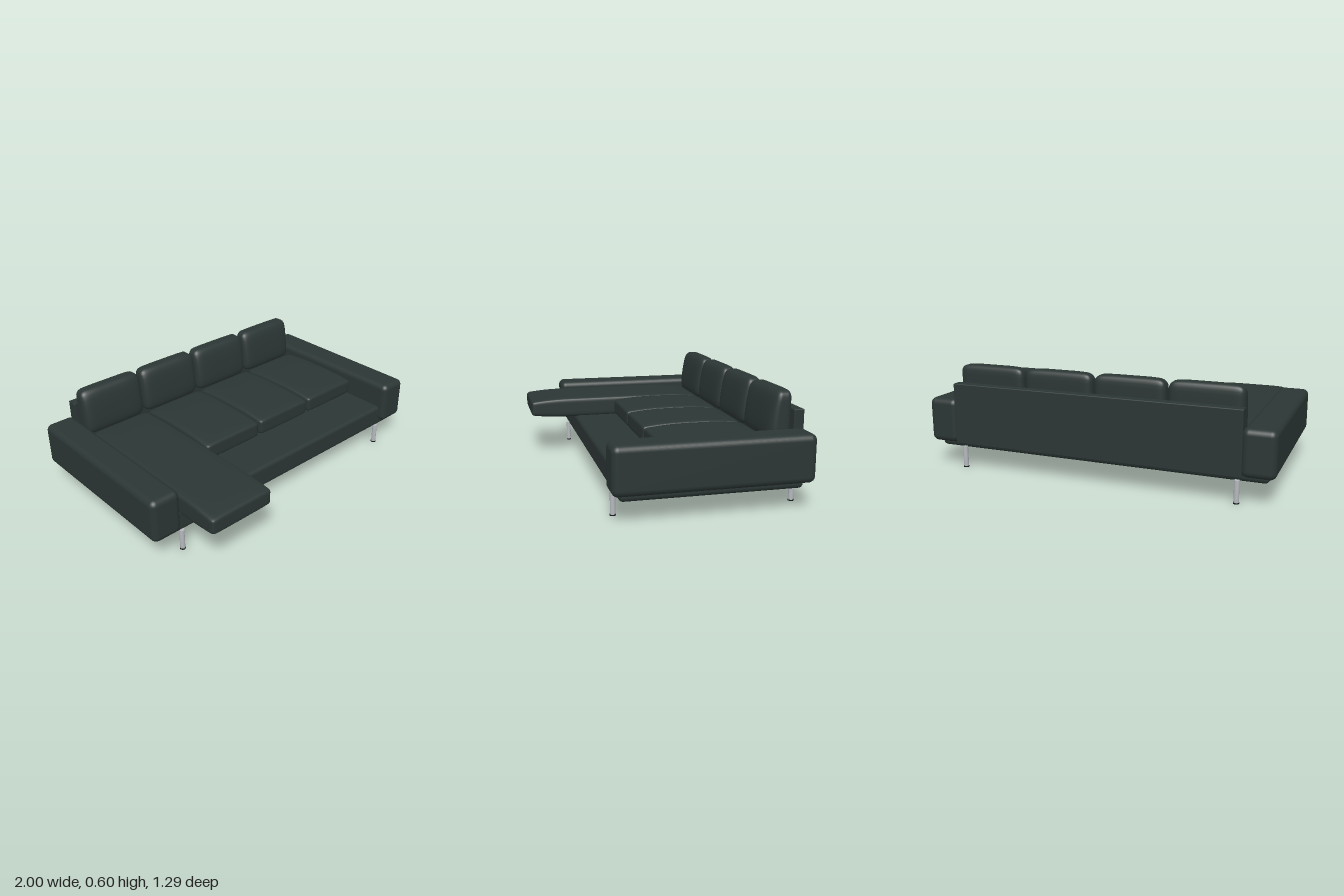
import * as THREE from 'three';
import { mergeVertices } from 'three/addons/utils/BufferGeometryUtils.js';
import { RoundedBoxGeometry } from 'three/addons/geometries/RoundedBoxGeometry.js';

// Rounded box with finely divided faces, reshaped by an optional rule on each vertex
function softBox(w, h, d, r, rule) {
  let geo = new THREE.BoxGeometry(2, 2, 2, 20, 14, 24);
  geo.deleteAttribute('uv');
  geo.deleteAttribute('normal');
  geo.clearGroups();
  geo = mergeVertices(geo, 1e-4);
  const half = new THREE.Vector3(w / 2, h / 2, d / 2);
  const inner = half.clone().subScalar(r);
  const p = new THREE.Vector3(), c = new THREE.Vector3();
  const pos = geo.attributes.position;
  const ease = (t) => Math.sin(t * Math.PI / 2); // crowds vertices towards the edges
  for (let i = 0; i < pos.count; i++) {
    p.fromBufferAttribute(pos, i);
    p.set(ease(p.x), ease(p.y), ease(p.z)).multiply(half);
    c.copy(p).clamp(inner.clone().negate(), inner);
    p.sub(c).setLength(r).add(c);
    if (rule) rule(p);
    pos.setXYZ(i, p.x, p.y, p.z);
  }
  geo.computeVertexNormals();
  return geo;
}

// How far a point lies inside the border zone: 0 in the middle, 1 at the edge
const border = (v, half, zone) => Math.max(0, 1 - (half - Math.abs(v)) / zone);

export function createModel() {
  const sofa = new THREE.Group();
  sofa.name = 'sofa';
  const upholstery = new THREE.MeshStandardMaterial({ name: 'dark upholstery', color: 0x2b3634 });
  const metal = new THREE.MeshStandardMaterial({ name: 'leg metal', color: 0xb4b8bc });
  const rubber = new THREE.MeshStandardMaterial({ name: 'foot rubber', color: 0x151717 });

  const add = (name, geo, mat, x, y, z, parent = sofa) => {
    const mesh = new THREE.Mesh(geo, mat);
    mesh.name = name;
    mesh.position.set(x, y, z);
    parent.add(mesh);
    return mesh;
  };

  // Platform and back panel
  add('base', new RoundedBoxGeometry(1.92, 0.135, 0.96, 4, 0.025), upholstery, 0, 0.1825, -0.12);
  add('backPanel', new RoundedBoxGeometry(1.66, 0.35, 0.057, 2, 0.005), upholstery, 0, 0.325, -0.6185);

  // Armrests
  for (const side of [-1, 1]) {
    add(side > 0 ? 'leftArm' : 'rightArm',
      new RoundedBoxGeometry(0.178, 0.255, 1.05, 5, 0.035), upholstery, side * 0.911, 0.2775, -0.125);
  }

  // Seat cushion: thins towards its borders, mostly at the front and back
  const seatGeometry = (depth) => softBox(0.4, 0.132, depth, 0.022, (p) => {
    const ez = border(p.z, depth / 2, 0.24);
    const ex = border(p.x, 0.2, 0.1);
    p.y *= (1 - 0.27 * ez * ez) * (1 - 0.1 * ex * ex);
  });

  // Back cushion: front leans back towards the top, faces slightly plump
  const backGeometry = softBox(0.4, 0.27, 0.13, 0.04, (p) => {
    const t = (p.y + 0.135) / 0.27;
    const ex = border(p.x, 0.2, 0.12);
    const ey = border(p.y, 0.135, 0.1);
    const front = (p.z + 0.065) / 0.13;
    p.z -= front * (0.035 * Math.pow(t, 1.6) + 0.01 * ex * ex + 0.008 * ey * ey);
    p.y -= 0.006 * ex * ex * t;
  });

  // Four places; the one on the model's right is a long chaise
  for (let i = 0; i < 4; i++) {
    const x = (i - 1.5) * 0.414;
    const front = i === 0 ? 0.645 : 0.11;
    const depth = front + 0.46;
    add(i === 0 ? 'chaiseCushion' : 'seatCushion', seatGeometry(depth), upholstery, x, 0.306, front - depth / 2);
    add('backCushion', backGeometry, upholstery, x, 0.466, -0.522);
  }

  // Legs with dark feet
  for (const x of [-0.8, 0.8]) {
    for (const z of [-0.605, 0.36]) {
      const leg = new THREE.Group();
      leg.name = 'leg';
      leg.position.set(x, 0, z);
      sofa.add(leg);
      add('legTube', new THREE.CylinderGeometry(0.014, 0.014, 0.119, 24), metal, 0, 0.0655, 0, leg);
      add('foot', new THREE.CylinderGeometry(0.016, 0.016, 0.006, 24), rubber, 0, 0.003, 0, leg);
    }
  }
  return sofa;
}
